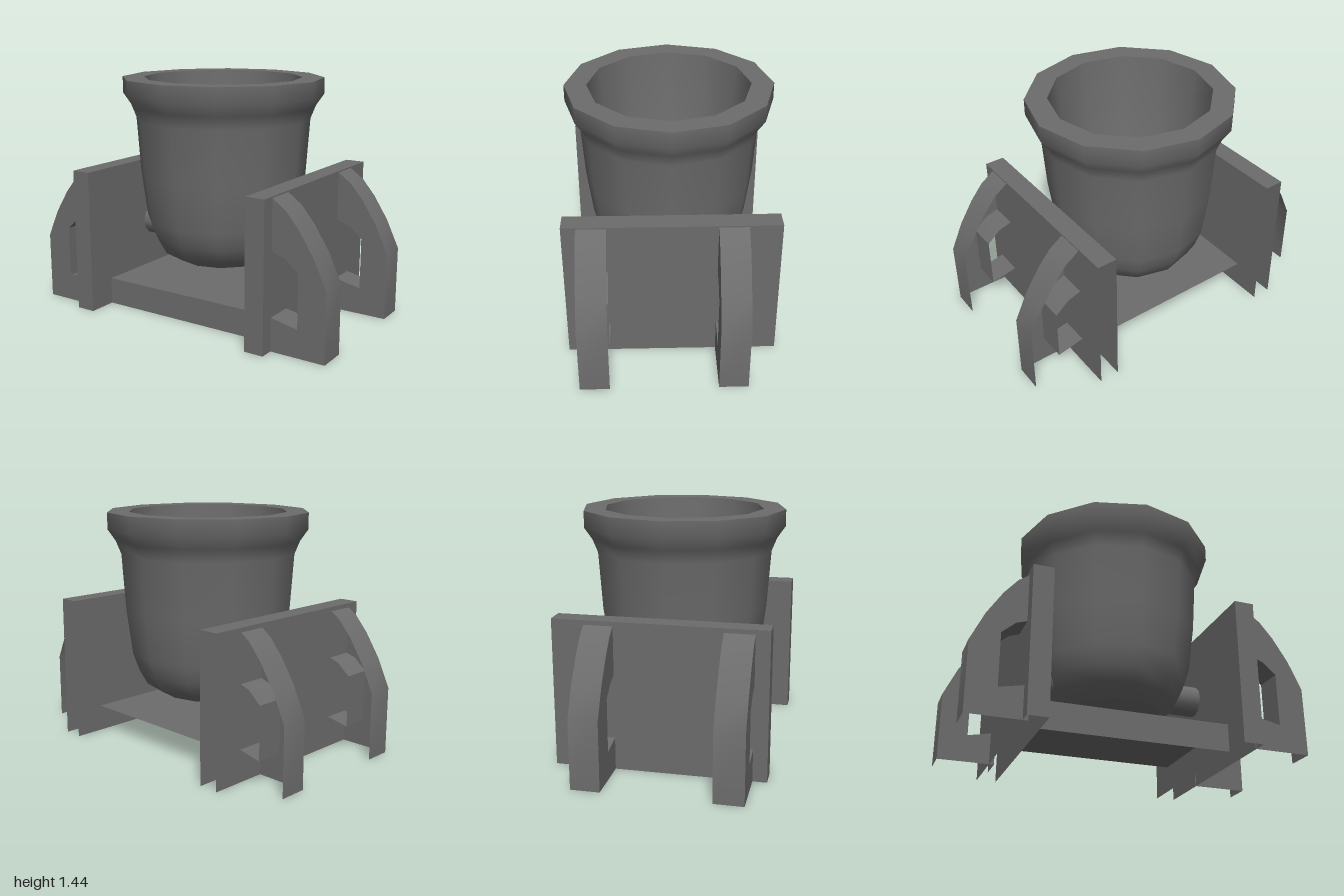
import * as THREE from 'three';
import { toCreasedNormals } from 'three/addons/utils/BufferGeometryUtils.js';

const material = new THREE.MeshStandardMaterial({ color: 0x6c6c6c, side: THREE.DoubleSide });

function addMesh(parent, name, geometry) {
  const mesh = new THREE.Mesh(geometry, material);
  mesh.name = name;
  parent.add(mesh);
  return mesh;
}

// The carriage parts are open shells: drop faces towards -z and those lying on the ground.
function openShell(geometry) {
  const source = geometry.index ? geometry.toNonIndexed() : geometry;
  const pos = source.attributes.position;
  const kept = [];
  const tri = new THREE.Triangle();
  const normal = new THREE.Vector3();
  for (let i = 0; i < pos.count; i += 3) {
    tri.setFromAttributeAndIndices(pos, i, i + 1, i + 2);
    tri.getNormal(normal);
    const onGround = Math.max(tri.a.y, tri.b.y, tri.c.y) < 0.001;
    if (normal.z < -0.9 || onGround) continue;
    for (const p of [tri.a, tri.b, tri.c]) kept.push(p.x, p.y, p.z);
  }
  const shell = new THREE.BufferGeometry();
  shell.setAttribute('position', new THREE.Float32BufferAttribute(kept, 3));
  return toCreasedNormals(shell, 0.6);
}

// Box given by its limits, standing on the ground
function shellBox(x0, x1, height, z0, z1) {
  const box = new THREE.BoxGeometry(x1 - x0, height, z1 - z0);
  box.translate((x0 + x1) / 2, height / 2, (z0 + z1) / 2);
  return openShell(box);
}

// Curved buttress with a window against the cheek; side is 1 or -1
function buttress(side, z0, z1) {
  const outline = [
    [0.66, 0], [1, 0], [1, 0.41], [0.92, 0.58], [0.83, 0.72], [0.75, 0.815], [0.66, 0.878],
    [0.66, 0.58], [0.75, 0.55], [0.83, 0.48], [0.83, 0.165], [0.66, 0.2],
  ];
  const shape = new THREE.Shape(outline.map(([x, y]) => new THREE.Vector2(side * x, y)));
  const geometry = new THREE.ExtrudeGeometry(shape, { depth: z1 - z0, bevelEnabled: false });
  geometry.translate(0, 0, z0);
  return openShell(geometry);
}

function lathe(points) {
  return new THREE.LatheGeometry(points.map(([r, y]) => new THREE.Vector2(r, y)), 12);
}

export function createModel() {
  const model = new THREE.Group();
  model.name = 'mortar';

  // Carriage: base, two cheeks, four buttresses
  const carriage = new THREE.Group();
  carriage.name = 'carriage';
  model.add(carriage);
  addMesh(carriage, 'base', shellBox(-0.57, 0.545, 0.165, -0.44, 0.44));
  addMesh(carriage, 'rightCheek', shellBox(-0.69, -0.57, 0.883, -0.62, 0.62));
  addMesh(carriage, 'leftCheek', shellBox(0.545, 0.665, 0.883, -0.62, 0.62));
  for (const side of [-1, 1]) {
    const word = side > 0 ? 'left' : 'right';
    addMesh(carriage, word + 'FrontButtress', buttress(side, 0.365, 0.537));
    addMesh(carriage, word + 'BackButtress', buttress(side, -0.43, -0.26));
  }

  // Barrel: smooth outside, flat rim and hollow bore
  const barrel = new THREE.Group();
  barrel.name = 'barrel';
  barrel.position.x = -0.007;
  model.add(barrel);
  addMesh(barrel, 'barrelBottom', lathe([[0, 0.308], [0.287, 0.308]]));
  addMesh(barrel, 'barrelOutside', lathe([
    [0.287, 0.308], [0.39, 0.37], [0.44, 0.46], [0.478, 0.57], [0.515, 0.85],
    [0.538, 1.19], [0.57, 1.27], [0.618, 1.34], [0.618, 1.44],
  ]));
  addMesh(barrel, 'rim', lathe([[0.618, 1.44], [0.485, 1.44]]));
  addMesh(barrel, 'bore', lathe([[0.485, 1.44], [0.44, 0.9], [0.34, 0.6], [0, 0.42]]));

  // Trunnion stubs from the barrel wall to each cheek
  for (const side of [-1, 1]) {
    const stub = new THREE.CylinderGeometry(0.095, 0.095, 0.17, 12, 1, true);
    const trunnion = addMesh(model, side > 0 ? 'leftTrunnion' : 'rightTrunnion', stub);
    trunnion.rotation.z = Math.PI / 2;
    trunnion.position.set(-0.0125 + side * 0.4725, 0.465, 0);
  }

  return model;
}
